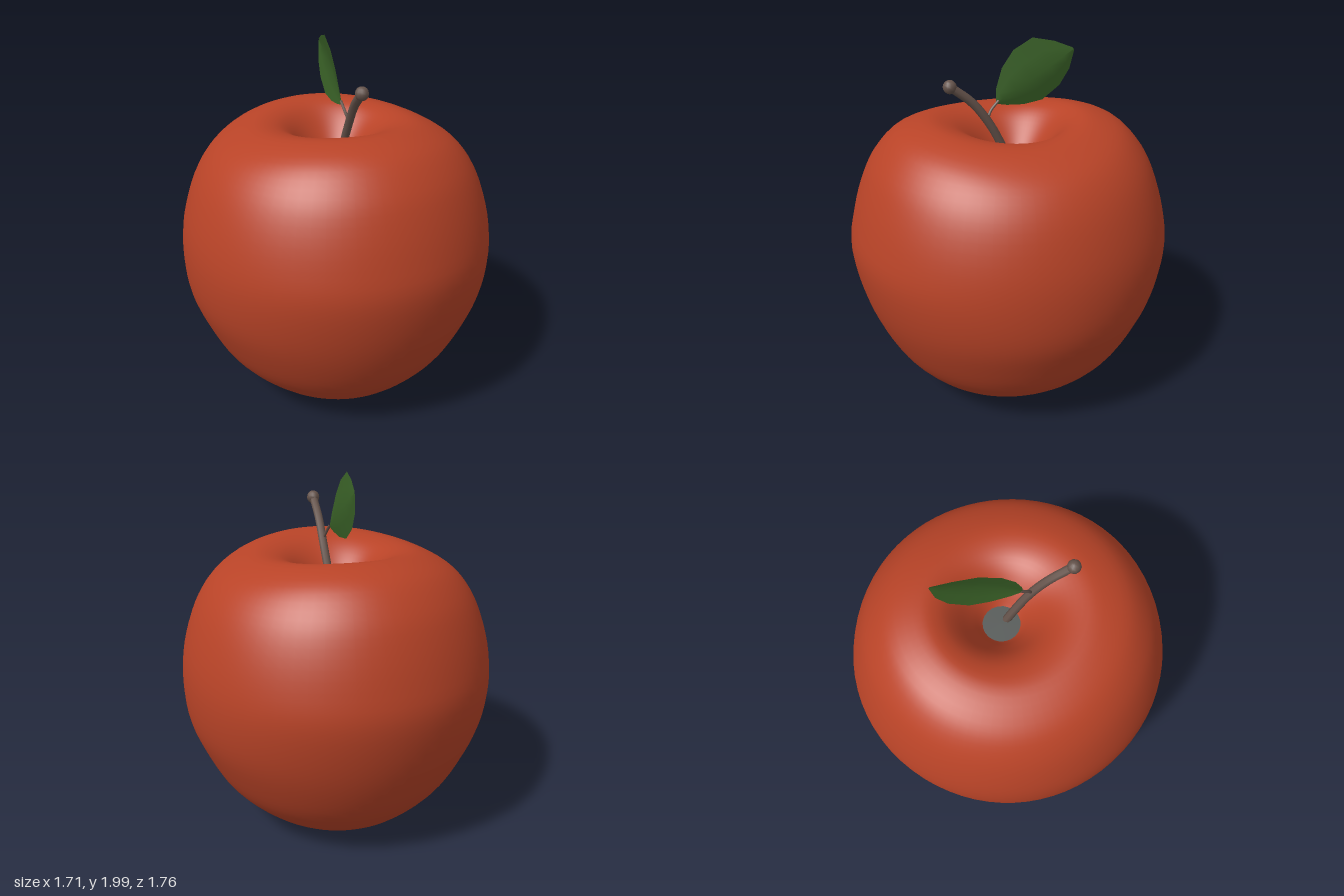
import * as THREE from 'three';
import { mergeVertices } from 'three/addons/utils/BufferGeometryUtils.js';

const mat = (name, color, extra = {}) => new THREE.MeshStandardMaterial({ name, color, ...extra });

// Half profiles [radius, y], from the bottom dimple to the top hollow
const SIDE = [[.07, .17], [.1, .14], [.16, .06], [.22, .03], [.32, .033], [.5, .13], [.67, .3], [.78, .51],
  [.84, .68], [.857, .87], [.84, 1.06], [.78, 1.26], [.7, 1.4], [.6, 1.49], [.45, 1.557], [.33, 1.555],
  [.24, 1.51], [.16, 1.42], [.1, 1.34], [.07, 1.31]];
const FRONT = [[.07, .17], [.1, .14], [.16, .06], [.22, .03], [.32, .033], [.48, .1], [.65, .27], [.76, .46],
  [.84, .68], [.882, .92], [.855, 1.1], [.8, 1.28], [.73, 1.42], [.61, 1.545], [.45, 1.598], [.34, 1.58],
  [.25, 1.52], [.16, 1.42], [.1, 1.34], [.07, 1.31]];

function fruitGeometry() {
  const rows = 70, segments = 72;
  const sample = (pts) => new THREE.SplineCurve(pts.map(([r, y]) => new THREE.Vector2(r, y))).getPoints(rows);
  const side = sample(SIDE), front = sample(FRONT);
  const geo = new THREE.LatheGeometry(side, segments);
  const pos = geo.attributes.position;
  for (let i = 0; i < pos.count; i++) {
    const j = i % (rows + 1), a = (Math.floor(i / (rows + 1)) % segments) / segments * Math.PI * 2;
    const k = Math.cos(a) ** 2;
    const r = THREE.MathUtils.lerp(side[j].x, front[j].x, k);
    let y = THREE.MathUtils.lerp(side[j].y, front[j].y, k);
    // five soft lobes around the underside
    if (y < 0.5) y -= 0.018 * Math.exp(-(((r - 0.25) / 0.1) ** 2)) * Math.cos(5 * a + 0.6);
    // hollow sits slightly behind the centre
    const shift = y > 1 ? -0.035 * THREE.MathUtils.smoothstep(0.45 - r, 0, 0.3) : 0;
    pos.setXYZ(i, r * Math.sin(a), y, r * Math.cos(a) + shift);
  }
  geo.deleteAttribute('uv');
  geo.deleteAttribute('normal');
  const merged = mergeVertices(geo, 1e-5);
  merged.computeVertexNormals();
  return merged;
}

// Leaf cross-sections: distance along the midrib, upper half width, lower half width
function leafGeometry() {
  const sections = [[0, .008, .008], [.04, .065, .045], [.12, .133, .1], [.22, .175, .142],
    [.34, .171, .13], [.43, .092, .082], [.497, .008, .008]];
  const verts = [], index = [];
  sections.forEach(([s, up, down], i) => {
    const mid = 0.012 + 0.012 * Math.sin(s / 0.497 * Math.PI);
    [-down, -down / 2, 0, up / 2, up].forEach((w, c) => {
      const drop = w > 0 ? w * 0.24 : -w * 0.17;
      verts.push(mid - drop, 1.68 + 0.503 * s + 0.865 * w, 0.07 - 0.865 * s + 0.503 * w);
      if (i && c) {
        const b = i * 5 + c, a = b - 5;
        index.push(a - 1, b - 1, a, b - 1, b, a);
      }
    });
  });
  const geo = new THREE.BufferGeometry();
  geo.setAttribute('position', new THREE.Float32BufferAttribute(verts, 3));
  geo.setIndex(index);
  geo.computeVertexNormals();
  return geo;
}

export function createModel() {
  const model = new THREE.Group();
  model.name = 'apple';
  const red = mat('apple red', 0xb84327);
  const brown = mat('stem brown', 0x65534b);
  const green = mat('leaf green', 0x385f26, { side: THREE.DoubleSide });
  const grey = mat('core grey', 0x565a58);

  const add = (name, geo, material) => {
    const mesh = new THREE.Mesh(geo, material);
    mesh.name = name;
    model.add(mesh);
    return mesh;
  };
  const tube = (pts, radius) => new THREE.TubeGeometry(
    new THREE.CatmullRomCurve3(pts.map((p) => new THREE.Vector3(...p))), 16, radius, 8);

  add('fruit', fruitGeometry(), red);

  // Grey plugs closing the hollow and the dimple
  const topPlug = add('topPlug', new THREE.CylinderGeometry(.1, .08, .02, 20), grey);
  topPlug.position.set(0, 1.335, -.035);
  const bottomPlug = add('bottomPlug', new THREE.CylinderGeometry(.08, .09, .02, 20), grey);
  bottomPlug.position.set(0, .155, 0);

  // Stem with a knob at its tip
  add('stem', tube([[.02, 1.3, -.02], [.028, 1.44, .045], [.035, 1.58, .12], [.035, 1.7, .21], [.035, 1.79, .32]], .023), brown);
  const knob = add('stemKnob', new THREE.SphereGeometry(.036, 10, 8), brown);
  knob.position.set(.035, 1.795, .328);

  // Leaf on a thin stalk
  add('leafStalk', tube([[.033, 1.6, .13], [.02, 1.645, .105], [.012, 1.69, .06]], .008), brown);
  add('leaf', leafGeometry(), green);
  return model;
}
